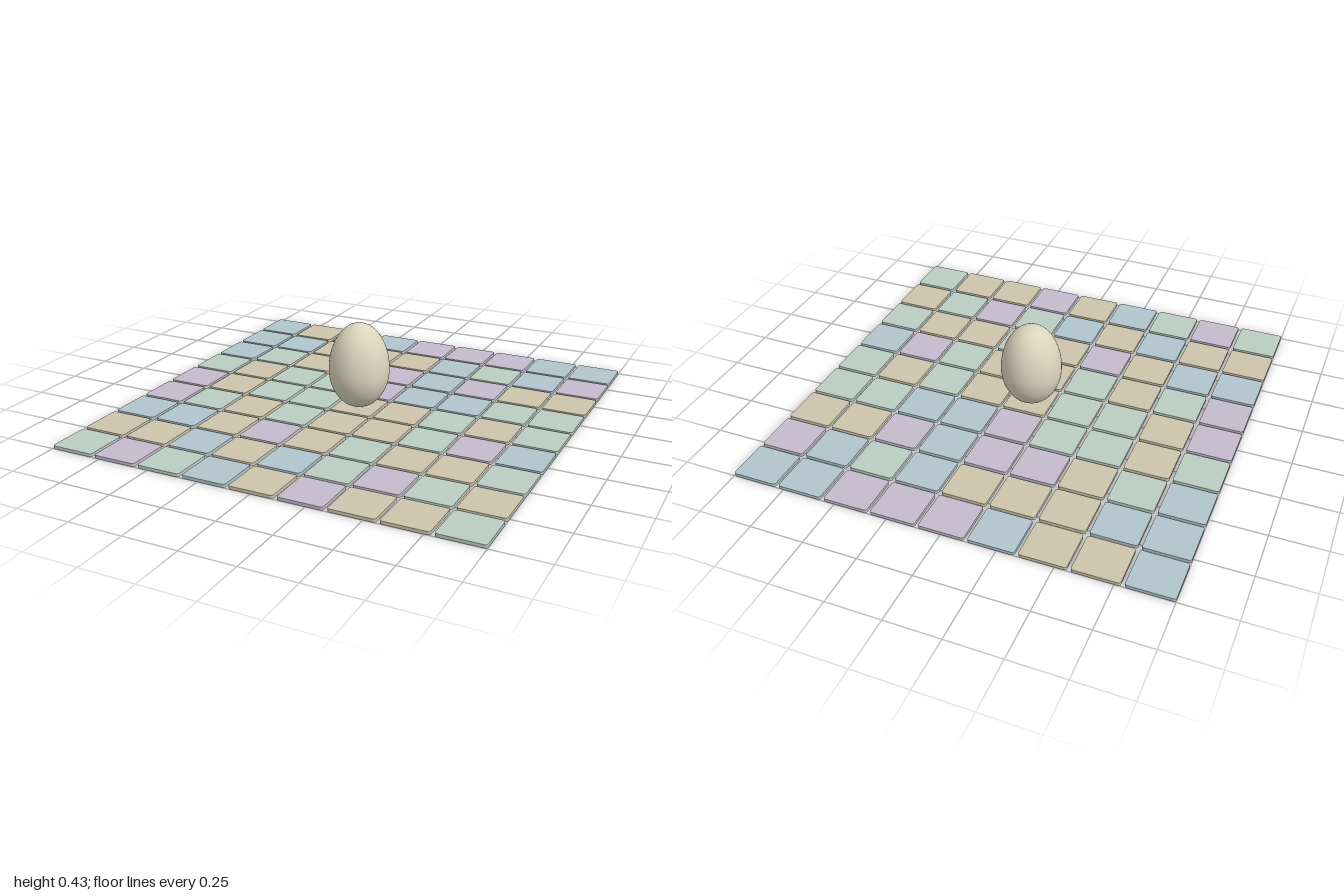
import * as THREE from 'three';

// Tile colours, one letter per tile, from back row to front row
const LAYOUT = [
  'BTTBPPPBB',
  'BBTTTBGBP',
  'BGTPPBPTT',
  'GTGGPBBGG',
  'PTGGTTGTG',
  'PGTGTTGPB',
  'BBTPTGTTG',
  'TTBTBGPGT',
  'GPGBTPTTG',
];
const TILE = 0.208, PITCH = 0.224, THICK = 0.015, CORNER = 0.012;

function material(name, color) {
  const m = new THREE.MeshStandardMaterial({ color });
  m.name = name;
  return m;
}

// Flat square slab with rounded corners, lying on y = 0
function tileGeometry() {
  const h = TILE / 2, c = h - CORNER;
  const s = new THREE.Shape();
  s.absarc(c, c, CORNER, 0, Math.PI / 2);
  s.absarc(-c, c, CORNER, Math.PI / 2, Math.PI);
  s.absarc(-c, -c, CORNER, Math.PI, Math.PI * 1.5);
  s.absarc(c, -c, CORNER, Math.PI * 1.5, Math.PI * 2);
  const g = new THREE.ExtrudeGeometry(s, { depth: THICK, bevelEnabled: false, curveSegments: 4 });
  return g.rotateX(-Math.PI / 2);
}

// Egg: a blunt lower half and a taller upper half sharing one waist
function eggGeometry() {
  const radius = 0.143, waist = 0.2, top = 0.425, bottom = THICK, steps = 40;
  const profile = [];
  for (let i = 0; i <= steps; i++) {
    const a = -Math.PI / 2 + (Math.PI * i) / steps;
    const half = a < 0 ? waist - bottom : top - waist;
    const r = i === 0 || i === steps ? 0 : radius * Math.cos(a);
    profile.push(new THREE.Vector2(r, waist + half * Math.sin(a)));
  }
  return new THREE.LatheGeometry(profile, 56);
}

export function createModel() {
  const model = new THREE.Group();
  model.name = 'eggOnTiledFloor';

  const paints = {
    B: material('paleBlue', 0xb0c4cc),
    T: material('paleTan', 0xccc4aa),
    G: material('paleGreen', 0xbaccc1),
    P: material('palePurple', 0xc4bbcc),
  };

  // Floor of nine by nine tiles
  const floor = new THREE.Group();
  floor.name = 'floor';
  const slab = tileGeometry();
  LAYOUT.forEach((row, r) => {
    [...row].forEach((letter, c) => {
      const tile = new THREE.Mesh(slab, paints[letter]);
      tile.name = 'tile';
      tile.position.set((c - 4) * PITCH, 0, (r - 4) * PITCH);
      floor.add(tile);
    });
  });
  model.add(floor);

  // Egg standing on the middle tile
  const egg = new THREE.Mesh(eggGeometry(), material('eggshell', 0xdcd5bd));
  egg.name = 'egg';
  model.add(egg);

  return model;
}
